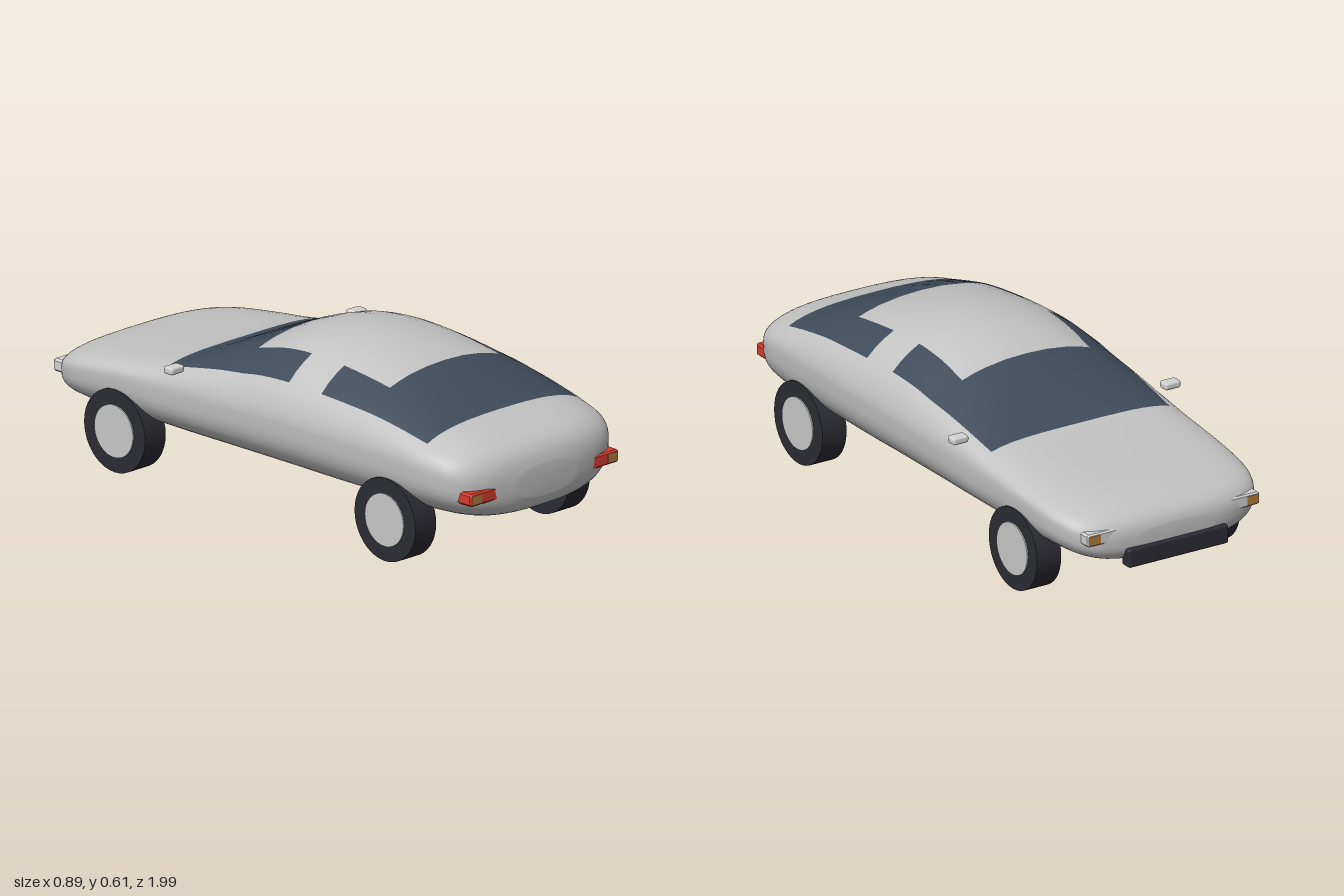
import * as THREE from 'three';
import { RoundedBoxGeometry } from 'three/addons/geometries/RoundedBoxGeometry.js';

const mat = (name, color, side = THREE.FrontSide) => {
  const m = new THREE.MeshStandardMaterial({ color, side });
  m.name = name;
  return m;
};

// Body stations from nose to tail: z, half width, top y, bottom y, waist y, roundness of the upper half
const STATIONS = [
  [-0.985, 0.14, 0.275, 0.205, 0.245, 2.5],
  [-0.975, 0.23, 0.30, 0.185, 0.25, 2.6],
  [-0.95, 0.31, 0.325, 0.165, 0.26, 2.8],
  [-0.9, 0.358, 0.348, 0.152, 0.28, 3],
  [-0.8, 0.386, 0.37, 0.146, 0.30, 3.2],
  [-0.62, 0.396, 0.393, 0.142, 0.32, 3.4],
  [-0.42, 0.400, 0.424, 0.14, 0.325, 3.6],
  [-0.28, 0.403, 0.478, 0.139, 0.335, 2.8],
  [-0.1, 0.406, 0.556, 0.138, 0.35, 2.15],
  [0.02, 0.407, 0.597, 0.138, 0.355, 2.05],
  [0.15, 0.408, 0.614, 0.138, 0.36, 2],
  [0.3, 0.408, 0.607, 0.138, 0.36, 2],
  [0.51, 0.404, 0.566, 0.139, 0.36, 2.15],
  [0.65, 0.400, 0.517, 0.142, 0.355, 2.4],
  [0.78, 0.392, 0.466, 0.147, 0.345, 2.7],
  [0.88, 0.371, 0.437, 0.156, 0.33, 2.8],
  [0.94, 0.325, 0.41, 0.17, 0.31, 2.7],
  [0.975, 0.245, 0.375, 0.19, 0.295, 2.5],
  [0.992, 0.13, 0.33, 0.225, 0.285, 2.3],
];
const GLASS_IN = 0.613, GLASS_OUT = 0.87;
const UPPER = [0, 0.2, 0.4, 0.52, GLASS_IN, 0.7, 0.79, GLASS_OUT, 0.92, 0.96, 0.985, 0.996, 0.9995, 1];
const LOWER_STEPS = 14, SUB = 4;

function spline(a, b, c, d, t) {
  return b + 0.5 * t * (c - a + t * (2 * a - 5 * b + 4 * c - d + t * (3 * (b - c) + d - a)));
}

// One closed ring: top centre, down the +x side, along the bottom and up the -x side
function ring([z, w, top, bottom, waist, n]) {
  const half = UPPER.map(f => [f * w, waist + (top - waist) * Math.pow(Math.max(0, 1 - f ** n), 1 / n)]);
  for (let i = 1; i <= LOWER_STEPS; i++) {
    const a = (i / LOWER_STEPS) * Math.PI / 2, e = 2 / 2.65;
    const c = i === LOWER_STEPS ? 0 : Math.cos(a) ** e;
    half.push([w * c, waist - (waist - bottom) * Math.sin(a) ** e]);
  }
  const mirrored = half.slice(1, -1).reverse().map(([x, y]) => [-x, y]);
  return [...half, ...mirrored].map(([x, y]) => [x, y, z]);
}

// Glass wraps round the cabin, broken by the roof panel and the side pillars
function isGlass(z, f) {
  if (f > GLASS_OUT) return false;
  if (f > GLASS_IN) return (z > -0.42 && z < 0.15) || (z > 0.3 && z < 0.78);
  return (z > -0.42 && z < -0.1) || (z > 0.51 && z < 0.78);
}

function bodyGeometry() {
  const rows = [];
  const last = STATIONS.length - 1;
  for (let i = 0; i < last; i++) {
    const k = [i - 1, i, i + 1, i + 2].map(j => STATIONS[Math.min(last, Math.max(0, j))]);
    for (let s = 0; s < SUB; s++)
      rows.push(k[0].map((_, c) => spline(k[0][c], k[1][c], k[2][c], k[3][c], s / SUB)));
  }
  rows.push(STATIONS[last]);

  const points = rows.flatMap(ring);
  const N = points.length / rows.length;
  const paint = [], glass = [];
  for (let i = 0; i < rows.length - 1; i++) {
    const z = (rows[i][0] + rows[i + 1][0]) / 2;
    for (let j = 0; j < N; j++) {
      const j2 = (j + 1) % N;
      const k = Math.min(j, N - 1 - j);
      const f = k < UPPER.length - 1 ? (UPPER[k] + UPPER[k + 1]) / 2 : 2;
      const a = i * N + j, b = i * N + j2, c = a + N, d = b + N;
      (isGlass(z, f) ? glass : paint).push(a, c, b, b, c, d);
    }
  }
  // Close the nose and the tail
  const end = (rows.length - 1) * N;
  const nose = points.push([0, 0.243, -0.987]) - 1;
  const tail = points.push([0, 0.283, 0.995]) - 1;
  for (let j = 0; j < N; j++) {
    const j2 = (j + 1) % N;
    paint.push(nose, j, j2, tail, end + j2, end + j);
  }
  const g = new THREE.BufferGeometry();
  g.setAttribute('position', new THREE.Float32BufferAttribute(points.flat(), 3));
  g.setIndex([...paint, ...glass]);
  g.addGroup(0, paint.length, 0);
  g.addGroup(paint.length, glass.length, 1);
  g.computeVertexNormals();
  return g;
}

export function createModel() {
  const car = new THREE.Group();
  car.name = 'car';
  const paint = mat('silver paint', 0xc2c2c2);
  const glass = mat('dark glass', 0x3f4b59);
  const rubber = mat('black rubber', 0x2b2b33);
  const metal = mat('hub metal', 0xc8c8c8);
  const red = mat('red lamp', 0xd63a2a);
  const orange = mat('orange lamp', 0xb27c3c);
  const clear = mat('clear lamp', 0xd2d2d2);

  const add = (parent, name, geometry, material, x = 0, y = 0, z = 0) => {
    const m = new THREE.Mesh(geometry, material);
    m.name = name;
    m.position.set(x, y, z);
    parent.add(m);
    return m;
  };

  add(car, 'body', bodyGeometry(), [paint, glass]);

  // Wheels: a tyre with a hub slightly proud on both faces
  const tyre = new THREE.CylinderGeometry(0.142, 0.142, 0.094, 40).rotateZ(Math.PI / 2);
  const hub = new THREE.CylinderGeometry(0.09, 0.09, 0.103, 40).rotateZ(Math.PI / 2);

  // Lamp block, tapered towards its inner end
  const outline = new THREE.Shape([
    [0.212, 0.25], [0.33, 0.25], [0.337, 0.257], [0.337, 0.287],
    [0.33, 0.294], [0.225, 0.294], [0.212, 0.283],
  ].map(([x, y]) => new THREE.Vector2(x, y)));
  const lamp = new THREE.ExtrudeGeometry(outline, {
    depth: 0.056, bevelEnabled: true, bevelThickness: 0.006, bevelSize: 0.005, bevelOffset: -0.005, bevelSegments: 1,
  });
  const indicator = new THREE.BoxGeometry(0.044, 0.031, 0.006);
  const mirror = new RoundedBoxGeometry(0.06, 0.026, 0.042, 3, 0.009);

  for (const side of [1, -1]) {
    const label = side > 0 ? 'left' : 'right';
    for (const [end, z] of [['Front', -0.62], ['Rear', 0.64]]) {
      const wheel = new THREE.Group();
      wheel.name = label + end + 'Wheel';
      wheel.position.set(side * 0.35, 0.142, z);
      add(wheel, 'tyre', tyre, rubber);
      add(wheel, 'hub', hub, metal);
      car.add(wheel);
    }
    // Lamps: red at the tail, clear at the nose, each with an orange indicator
    const tail = add(car, label + 'TailLamp', lamp, red, 0, 0, 0.917);
    const head = add(car, label + 'Headlamp', lamp, clear, 0, 0, -0.907);
    tail.scale.x = side;
    head.scale.set(side, 1, -1);
    add(car, label + 'RearIndicator', indicator, orange, side * 0.309, 0.272, 0.978);
    add(car, label + 'FrontIndicator', indicator, orange, side * 0.309, 0.272, -0.968);
    add(car, label + 'Mirror', mirror, clear, side * 0.415, 0.43, -0.325);
  }

  add(car, 'frontBumper', new RoundedBoxGeometry(0.39, 0.065, 0.045, 2, 0.008), rubber, 0, 0.188, -0.977);
  return car;
}
